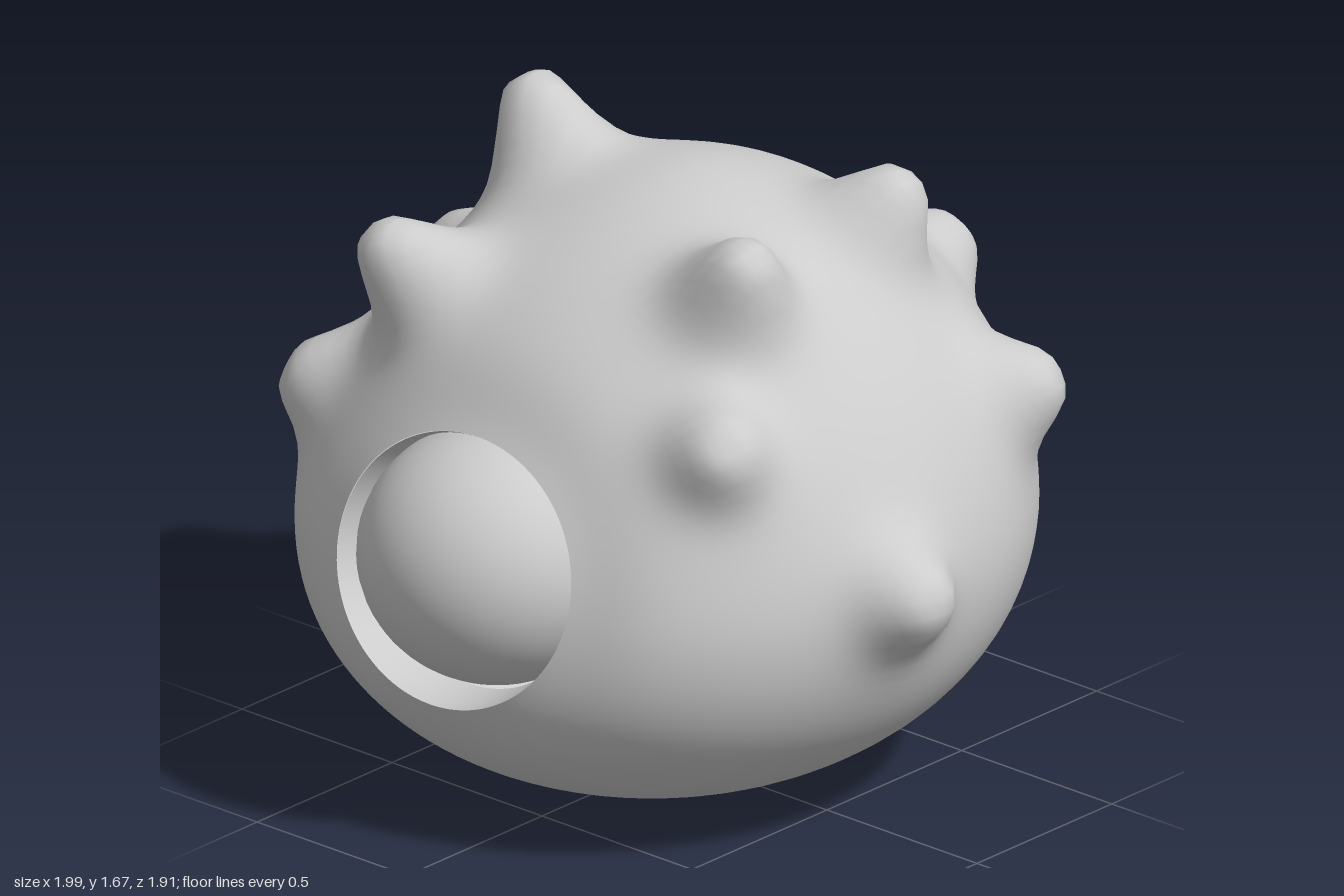
import * as THREE from 'three';

// Body: squashed round form, domed above its widest line and bowl-like below,
// leaning back a little as it rises
const CENTRE = new THREE.Vector3(-0.06, 0.65, -0.03);
const RADIUS = 0.92, LEAN = 0.1;
const UPPER = { height: 0.9, power: 1.75 };
const LOWER = { height: 0.65, power: 2.1 };

// Eye socket: oval rim tilted to follow the front
const RIM = new THREE.Vector3(-0.065, 0.725, 0.754);
const RIM_RADIUS = 0.382, RIM_SQUASH = 0.9;
const TILT = -Math.atan(0.27);
const SEGMENTS = 112, ROWS = 84;

// Tips of the blunt horns
const HORN_TIPS = [
  [-0.58, 1.65, -0.08], [-0.54, 1.43, 0.53], [-0.97, 1.09, -0.22],
  [-0.84, 0.98, 0.51], [0.45, 1.56, 0.24], [0.42, 1.56, -0.39],
  [0.61, 1.17, 0.5], [0.75, 1.06, -0.58], [0.99, 0.73, 0.14], [0.1, 1.16, -0.94],
];

// Direction from the centre that leads to a point, before the lean
function directionTo(p) {
  const d = p.clone().sub(CENTRE);
  d.z += LEAN * d.y;
  return d.normalize();
}

// Point of the plain body in a given direction
function bodyPoint(dir) {
  const { height, power } = dir.y > 0 ? UPPER : LOWER;
  const side = Math.hypot(dir.x, dir.z) / RADIUS;
  const t = (side ** power + (Math.abs(dir.y) / height) ** power) ** (-1 / power);
  const p = dir.clone().multiplyScalar(t);
  p.z -= LEAN * p.y;
  return p.add(CENTRE);
}

function rimPoint(angle) {
  return new THREE.Vector3(Math.cos(angle), Math.sin(angle) * RIM_SQUASH, 0)
    .multiplyScalar(RIM_RADIUS).applyAxisAngle(new THREE.Vector3(1, 0, 0), TILT).add(RIM);
}

// Rings run from the socket rim to the back pole, with horns pulled out
function bodyGeometry() {
  const horns = HORN_TIPS.map((p) => {
    const tip = new THREE.Vector3(...p);
    const base = bodyPoint(directionTo(tip));
    return { base, pull: tip.sub(base) };
  });
  const back = new THREE.Vector3(0, 0, -1);
  const positions = [], index = [];
  for (let r = 0; r <= ROWS; r++) {
    for (let s = 0; s < SEGMENTS; s++) {
      const rim = rimPoint((s / SEGMENTS) * Math.PI * 2);
      const start = directionTo(rim);
      const axis = start.clone().cross(back).normalize();
      const dir = start.clone().applyAxisAngle(axis, start.angleTo(back) * (r / ROWS));
      const base = bodyPoint(dir);
      const p = base.clone();
      // Draw the skin to the rim
      const edge = bodyPoint(start);
      const near = Math.exp(-((base.distanceTo(edge) / 0.17) ** 2));
      p.addScaledVector(rim.sub(edge), near);
      // Raise the horns
      for (const h of horns) {
        p.addScaledVector(h.pull, 1 / (1 + (base.distanceTo(h.base) / 0.125) ** 4));
      }
      positions.push(p.x, p.y, p.z);
      if (r < ROWS) {
        const a = r * SEGMENTS + s, b = r * SEGMENTS + (s + 1) % SEGMENTS;
        index.push(a, a + SEGMENTS, b, b, a + SEGMENTS, b + SEGMENTS);
      }
    }
  }
  const g = new THREE.BufferGeometry();
  g.setAttribute('position', new THREE.Float32BufferAttribute(positions, 3));
  g.setIndex(index);
  g.computeVertexNormals();
  return g;
}

export function createModel() {
  const group = new THREE.Group();
  const grey = new THREE.MeshStandardMaterial({ name: 'grey', color: 0xcccccc, side: THREE.DoubleSide });

  const add = (name, geometry) => {
    const mesh = new THREE.Mesh(geometry, grey);
    mesh.name = name;
    group.add(mesh);
    return mesh;
  };

  add('hornedBody', bodyGeometry());

  // Collar sinking from the rim to the eye
  const collar = [[0.33, -0.14], [0.365, -0.06], [RIM_RADIUS, 0]]
    .map(([x, y]) => new THREE.Vector2(x, y));
  const socket = add('eyeSocket', new THREE.LatheGeometry(collar, SEGMENTS).rotateX(Math.PI / 2));
  socket.position.copy(RIM);
  socket.rotation.x = TILT;
  socket.scale.y = RIM_SQUASH;

  // Single round eye
  const eye = add('eye', new THREE.SphereGeometry(0.35, 40, 28));
  eye.scale.y = 0.94;
  eye.position.set(-0.06, 0.73, 0.6);

  return group;
}
